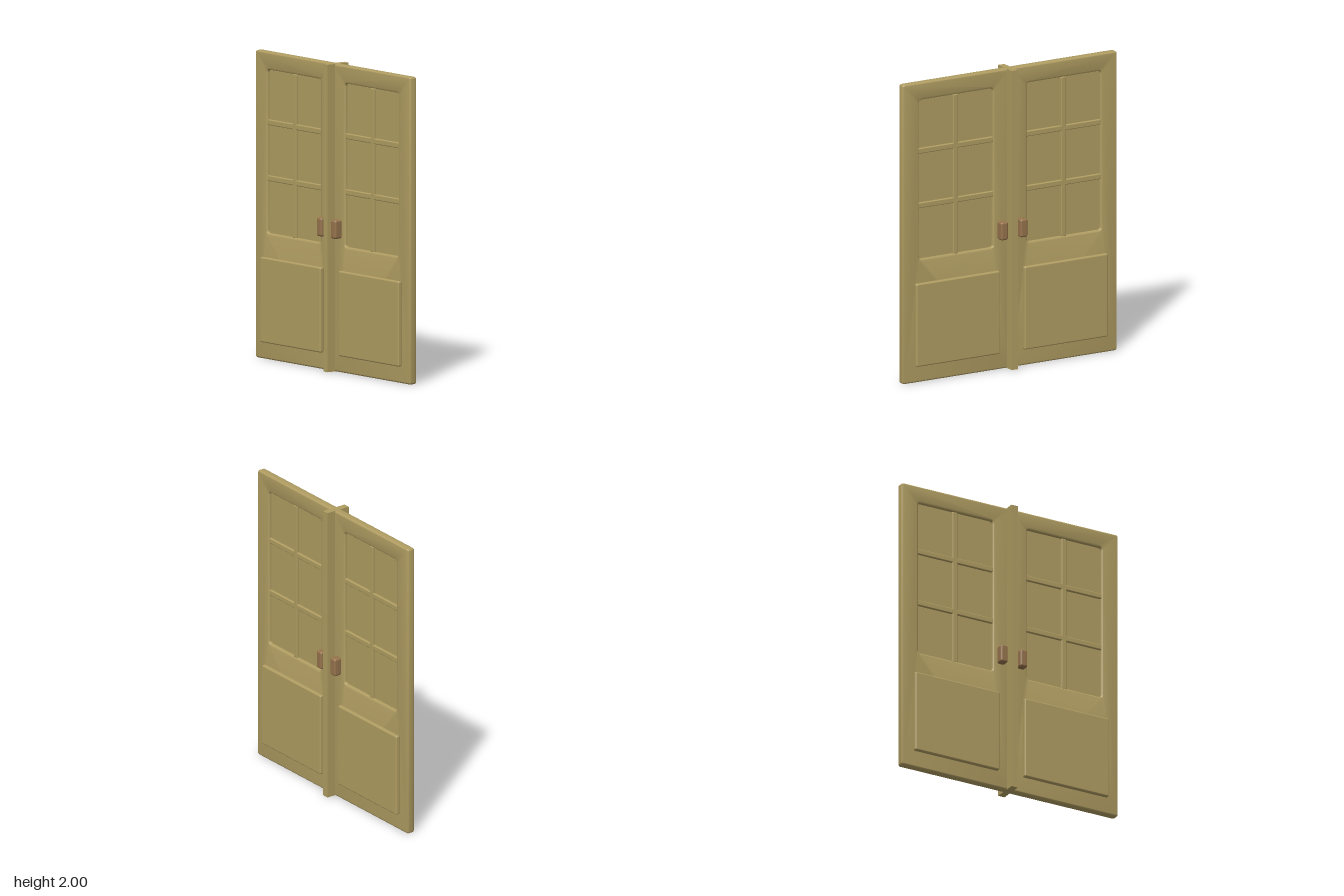
import * as THREE from 'three';
import { toCreasedNormals } from 'three/addons/utils/BufferGeometryUtils.js';
import { RoundedBoxGeometry } from 'three/addons/geometries/RoundedBoxGeometry.js';

const wood = new THREE.MeshStandardMaterial({ color: 0xb09d62 });
wood.name = 'ochreWood';
const brown = new THREE.MeshStandardMaterial({ color: 0x96734c });
brown.name = 'brownHandle';

// Rounded rectangle outline from its limits
function roundedRect(target, x0, y0, x1, y1, r) {
  target.moveTo(x0 + r, y0);
  target.lineTo(x1 - r, y0);
  target.quadraticCurveTo(x1, y0, x1, y0 + r);
  target.lineTo(x1, y1 - r);
  target.quadraticCurveTo(x1, y1, x1 - r, y1);
  target.lineTo(x0 + r, y1);
  target.quadraticCurveTo(x0, y1, x0, y1 - r);
  target.lineTo(x0, y0 + r);
  target.quadraticCurveTo(x0, y0, x0 + r, y0);
  return target;
}

// Rounded box from its limits
function block(name, [x0, x1], [y0, y1], [z0, z1], radius, material = wood) {
  const geometry = new RoundedBoxGeometry(x1 - x0, y1 - y0, z1 - z0, 3, radius);
  const mesh = new THREE.Mesh(geometry, material);
  mesh.position.set((x0 + x1) / 2, (y0 + y1) / 2, (z0 + z1) / 2);
  mesh.name = name;
  return mesh;
}

function createLeaf(name) {
  const leaf = new THREE.Group();
  leaf.name = name;

  // Bevelled frame with the window opening
  const bevel = 0.011;
  const outline = roundedRect(new THREE.Shape(), 0.005 + bevel, bevel, 0.805 - bevel, 2 - bevel, 0.005);
  outline.holes.push(roundedRect(new THREE.Path(), 0.116, 0.81, 0.693, 1.896, 0.03));
  const frameGeometry = new THREE.ExtrudeGeometry(outline, {
    depth: 0.054 - 2 * bevel, bevelEnabled: true, bevelSize: bevel,
    bevelThickness: bevel, bevelSegments: 3, curveSegments: 6,
  });
  frameGeometry.translate(0, 0, bevel - 0.027);
  const frame = new THREE.Mesh(toCreasedNormals(frameGeometry, 0.7), wood);
  frame.name = 'doorFrame';
  leaf.add(frame);

  // Recessed window pane
  const pane = new THREE.Mesh(new THREE.BoxGeometry(0.575, 1.084, 0.012), wood);
  pane.position.set(0.4045, 1.353, 0);
  pane.name = 'windowPane';
  leaf.add(pane);

  // Glazing bars
  leaf.add(block('verticalBar', [0.387, 0.424], [0.817, 1.884], [-0.022, 0.022], 0.006));
  for (const y of [1.178, 1.542]) {
    leaf.add(block('horizontalBar', [0.121, 0.689], [y - 0.018, y + 0.018], [-0.022, 0.022], 0.006));
  }

  // Raised lower panels and handles on both faces
  for (const side of [1, -1]) {
    const z = (a, b) => (side > 0 ? [a, b] : [-b, -a]);
    leaf.add(block('lowerPanel', [0.093, 0.72], [0.111, 0.665], z(0.026, 0.057), 0.01));
    leaf.add(block('handle', [0.046, 0.1], [0.873, 0.995], z(0.027, 0.085), 0.014, brown));
  }
  return leaf;
}

export function createModel() {
  const model = new THREE.Group();
  model.name = 'doubleDoor';

  const left = createLeaf('leftLeaf');
  const right = createLeaf('rightLeaf');
  right.rotation.y = Math.PI;
  model.add(left, right);

  // Centre post between the leaves
  const post = new THREE.Mesh(new THREE.BoxGeometry(0.046, 2, 0.172), wood);
  post.position.y = 1;
  post.name = 'centrePost';
  model.add(post);
  return model;
}
